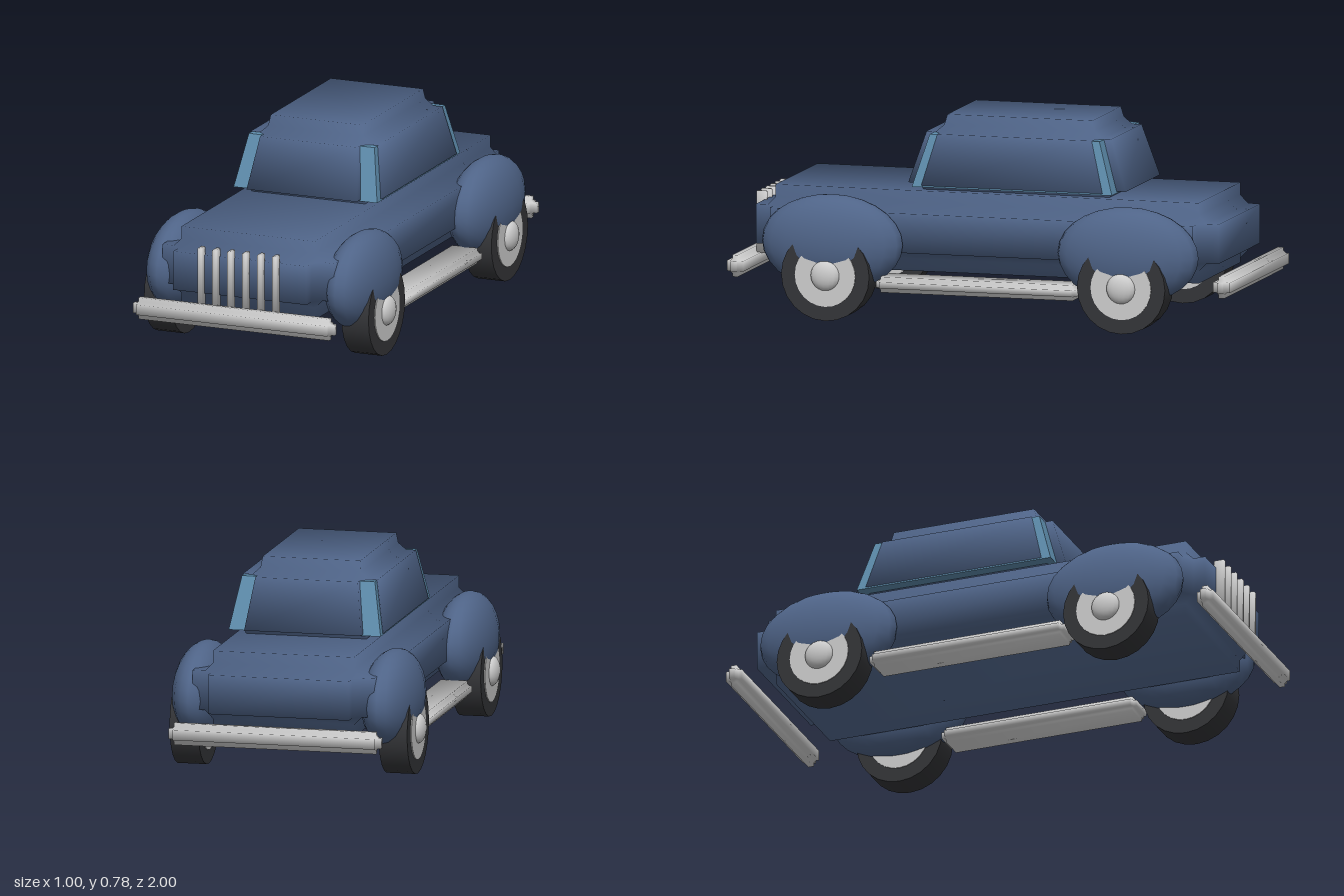
import * as THREE from 'three';

const paint = (name, color) => Object.assign(new THREE.MeshStandardMaterial({ color }), { name });

// Box whose edges and corners are cut inward by r, with softly averaged normals.
// a, b, c are half sizes; warp optionally moves each point.
function notchedBox(a, b, c, r, warp = (p) => p) {
  const k = 0.6 * r;
  const ring = (corner) => {
    const flip = (sx, sy) => corner.map(([x, y]) => [sx * x, sy * y]);
    return [...corner, ...flip(-1, 1).reverse(), ...flip(-1, -1), ...flip(1, -1).reverse()];
  };
  const small = ring(Array(4).fill([a - r, b - r]));
  const mid = ring([[a - k, b - r], [a - k, b - r], [a - r, b - k], [a - r, b - k]]);
  const full = ring([[a, b - r], [a - k, b - r], [a - r, b - k], [a - r, b]]);
  const sections = [
    [small, c], [small, c - k], [mid, c - r], [full, c - r],
    [full, r - c], [mid, r - c], [small, k - c], [small, -c],
  ];

  // Shared points
  const points = [], normals = [], lookup = new Map(), index = [];
  const ids = sections.map(([pts, z]) => pts.map(([x, y]) => {
    const key = [x, y, z].map((v) => v.toFixed(5)).join();
    if (!lookup.has(key)) {
      lookup.set(key, points.length);
      points.push(warp(new THREE.Vector3(x, y, z)));
      normals.push(new THREE.Vector3());
    }
    return lookup.get(key);
  }));

  // Each face adds its unit normal to its corners
  const quad = (p, q, s, t) => {
    const n = points[s].clone().sub(points[p]).cross(points[t].clone().sub(points[q]));
    if (n.length() < 1e-9) return;
    n.normalize();
    for (const i of new Set([p, q, s, t])) normals[i].add(n);
    for (const tri of [[p, q, s], [p, s, t]]) if (new Set(tri).size === 3) index.push(...tri);
  };
  for (let i = 0; i < ids.length - 1; i++) {
    for (let j = 0; j < 16; j++) {
      const n = (j + 1) % 16;
      quad(ids[i][j], ids[i + 1][j], ids[i + 1][n], ids[i][n]);
    }
  }
  const last = ids[ids.length - 1];
  quad(ids[0][0], ids[0][4], ids[0][8], ids[0][12]);
  quad(last[12], last[8], last[4], last[0]);

  const geo = new THREE.BufferGeometry();
  geo.setAttribute('position', new THREE.Float32BufferAttribute(points.flatMap((p) => p.toArray()), 3));
  geo.setAttribute('normal', new THREE.Float32BufferAttribute(normals.flatMap((n) => n.normalize().toArray()), 3));
  geo.setIndex(index);
  return geo;
}

export function createModel() {
  const car = new THREE.Group();
  car.name = 'car';
  const blue = paint('body blue', 0x4f6488);
  const glass = paint('window blue', 0x5f8eae);
  const chrome = paint('chrome', 0xcccccc);
  const rubber = paint('tyre rubber', 0x343538);

  const add = (name, geo, mat, x, y, z, parent = car) => {
    const mesh = new THREE.Mesh(geo, mat);
    mesh.name = name;
    mesh.position.set(x, y, z);
    parent.add(mesh);
    return mesh;
  };

  // Body
  add('body', notchedBox(0.356, 0.155, 0.92, 0.079), blue, 0, 0.334, 0);

  // Cabin, narrowing toward the roof
  const taper = (p) => {
    p.x *= 1 - 0.188 * p.y / 0.282;
    p.z *= 1 - 0.33 * p.y / 0.4;
    return p;
  };
  add('cabin', notchedBox(0.282, 0.165, 0.4, 0.067, taper), blue, 0, 0.61, -0.104);

  // Window glass showing at the cabin corners
  const pane = new THREE.BoxGeometry(0.559, 0.2, 0.735);
  const pos = pane.attributes.position;
  for (let i = 0; i < pos.count; i++) {
    const p = taper(new THREE.Vector3().fromBufferAttribute(pos, i));
    pos.setXYZ(i, p.x, p.y, p.z);
  }
  pane.computeVertexNormals();
  add('windows', pane, glass, 0, 0.606, -0.104);

  // Bumpers
  const bumper = notchedBox(0.418, 0.042, 0.033, 0.022);
  add('frontBumper', bumper, chrome, 0, 0.186, 0.967);
  add('rearBumper', bumper, chrome, 0, 0.186, -0.967);

  // Grille bars
  const bar = notchedBox(0.009, 0.12, 0.021, 0.003);
  for (let i = 0; i < 6; i++) add('grilleBar', bar, chrome, (i - 2.5) * 0.062, 0.323, 0.932);

  // Fenders, wheels and running boards
  const fender = new THREE.SphereGeometry(1, 20, 14).scale(0.11, 0.185, 0.28);
  const tyre = new THREE.CylinderGeometry(0.175, 0.175, 0.112, 24).rotateZ(Math.PI / 2);
  const rim = new THREE.CylinderGeometry(0.12, 0.12, 0.12, 24).rotateZ(Math.PI / 2);
  const hub = new THREE.SphereGeometry(1, 16, 12).scale(0.031, 0.058, 0.058);
  const board = notchedBox(0.07, 0.03, 0.4, 0.018);
  for (const side of [1, -1]) {
    add('runningBoard', board, chrome, side * 0.37, 0.143, 0);
    for (const end of [1, -1]) {
      add('fender', fender, blue, side * 0.37, 0.29, end * 0.588);
      const wheel = new THREE.Group();
      wheel.name = 'wheel';
      wheel.position.set(side * 0.41, 0.175, end * 0.588);
      add('tyre', tyre, rubber, 0, 0, 0, wheel);
      add('rim', rim, chrome, 0, 0, 0, wheel);
      add('hubcap', hub, chrome, side * 0.057, 0, 0, wheel);
      car.add(wheel);
    }
  }
  return car;
}
